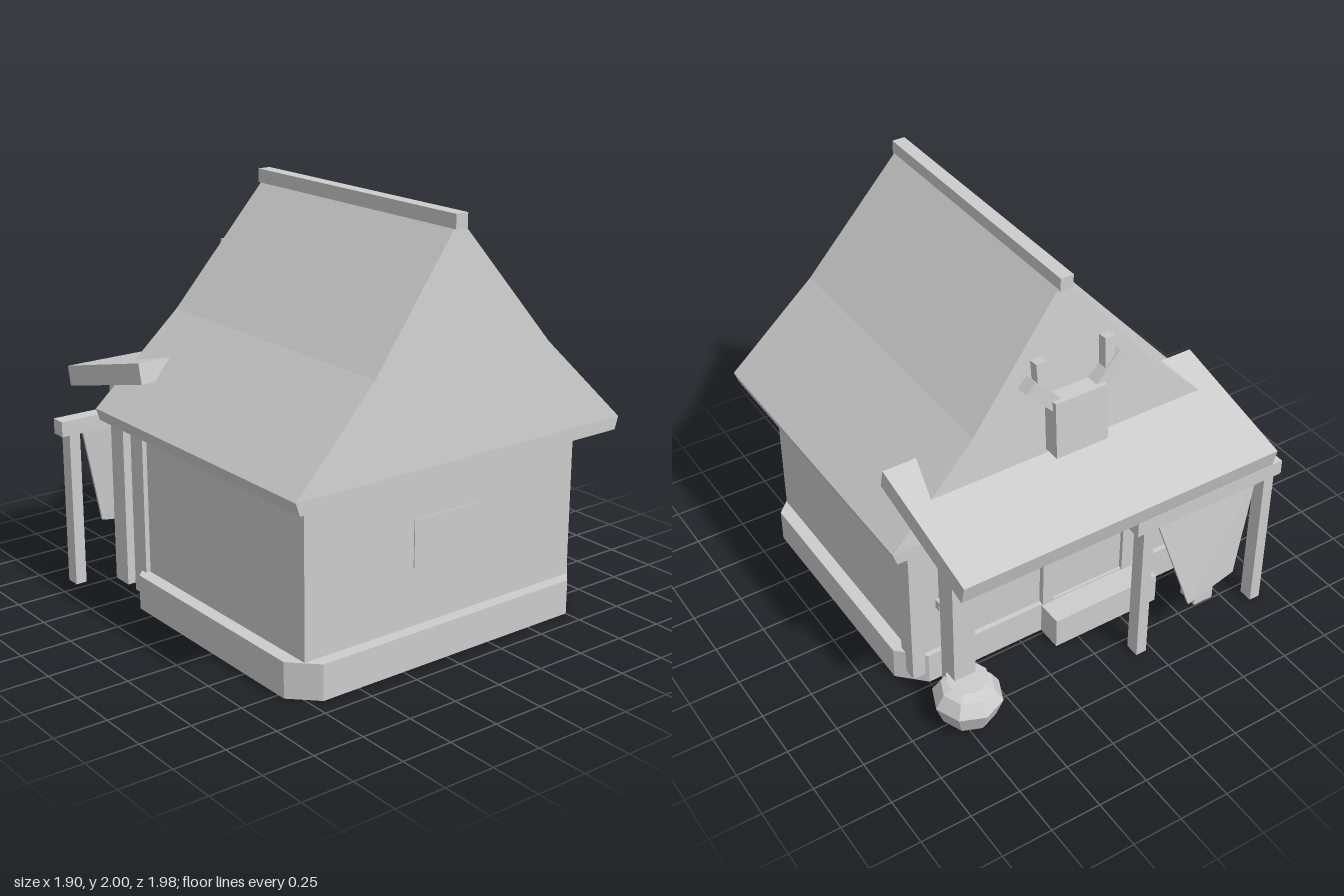
import * as THREE from 'three';

export function createModel() {
  const house = new THREE.Group();
  house.name = 'cottage';
  const grey = new THREE.MeshStandardMaterial({ color: 0xcccccc });
  grey.name = 'light grey';
  grey.flatShading = true;
  const MID = 0.03; // the house's own centre line

  const add = (name, geometry) => {
    const mesh = new THREE.Mesh(geometry, grey);
    mesh.name = name;
    house.add(mesh);
    return mesh;
  };
  // Box given by its limits on each axis
  const box = (name, x0, x1, y0, y1, z0, z1) => {
    const g = new THREE.BoxGeometry(x1 - x0, y1 - y0, z1 - z0);
    g.translate((x0 + x1) / 2, (y0 + y1) / 2, (z0 + z1) / 2);
    return add(name, g);
  };
  // Square bar between two points
  const bar = (name, a, b, width, depth) => {
    const p = new THREE.Vector3(...a), q = new THREE.Vector3(...b);
    const mesh = add(name, new THREE.BoxGeometry(width, p.distanceTo(q), depth));
    mesh.position.copy(p).add(q).multiplyScalar(0.5);
    mesh.quaternion.setFromUnitVectors(new THREE.Vector3(0, 1, 0), q.sub(p).normalize());
    return mesh;
  };
  const shapeOf = (points) => new THREE.Shape(points.map(([x, y]) => new THREE.Vector2(x, y)));
  const octagon = (x0, x1, y0, y1, c) => [
    [x0 + c, y0], [x1 - c, y0], [x1, y0 + c], [x1, y1 - c],
    [x1 - c, y1], [x0 + c, y1], [x0, y1 - c], [x0, y0 + c]];
  // Chamfered plate lying flat between two heights
  const flatPlate = (name, shape, y0, y1) => {
    const g = new THREE.ExtrudeGeometry(shape, { depth: y1 - y0, bevelEnabled: false });
    g.rotateX(-Math.PI / 2);
    g.translate(0, y0, 0);
    add(name, g);
  };

  // Hollow chamfered foundation: thin skirt under a floor plate
  const skirt = shapeOf(octagon(-0.81, 0.87, -0.91, 0.48, 0.12));
  skirt.holes.push(shapeOf(octagon(-0.795, 0.855, -0.895, 0.465, 0.114).reverse()));
  flatPlate('foundationSkirt', skirt, 0, 0.16);
  flatPlate('foundationTop', shapeOf(octagon(-0.81, 0.87, -0.91, 0.48, 0.12)), 0.155, 0.17);

  // Walls and front panel
  box('walls', -0.745, 0.805, 0.165, 0.92, -0.455, 0.85);
  box('frontPanel', -0.15, 0.205, 0.445, 0.67, 0.847, 0.855);

  // Main roof: upright eaves band, then a gable whose ends lean inwards
  const sweepRoof = (name, profile) => {
    const g = new THREE.ExtrudeGeometry(shapeOf(profile), { depth: 1, bevelEnabled: false });
    const pos = g.attributes.position;
    for (let i = 0; i < pos.count; i++) {
      const rise = Math.max(0, pos.getY(i) - 0.96);
      pos.setZ(i, pos.getZ(i) > 0.5 ? 0.99 - rise * 0.092 : -0.565 + rise * 0.097);
    }
    g.computeVertexNormals();
    add(name, g);
  };
  sweepRoof('eaves', [[-0.87, 0.9], [0.93, 0.9], [0.95, 0.96], [-0.89, 0.96]]);
  sweepRoof('roof', [[-0.89, 0.96], [0.95, 0.96], [0.52, 1.38],
    [0.06, 1.94], [0, 1.94], [-0.46, 1.38]]);
  box('ridgeBeam', -0.005, 0.06, 1.935, 2, -0.487, 0.912);

  // Sloping porch roof, drawn in (-z, y) and swept along x
  const porch = new THREE.ExtrudeGeometry(
    shapeOf([[0.305, 1.12], [0.965, 0.957], [0.988, 1.052], [0.328, 1.216]]),
    { depth: 1.65, bevelEnabled: false });
  porch.rotateY(Math.PI / 2);
  porch.translate(-0.796, 0, 0);
  add('porchRoof', porch);

  // Porch posts and rear corner posts
  for (const side of [-1, 1]) {
    const px = MID + side * 0.685;
    box('porchPost', px - 0.055, px + 0.055, 0, 1.08, -0.745, -0.635);
    const cx = MID + side * 0.763;
    box('cornerPost', cx - 0.035, cx + 0.035, 0.05, 0.92, -0.467, -0.365);
  }

  // Door with frame, handle and step
  box('step', -0.46, 0.125, 0, 0.163, -0.61, -0.45);
  box('door', -0.35, 0.07, 0.16, 0.73, -0.465, -0.45);
  box('doorLintel', -0.42, 0.14, 0.72, 0.8, -0.505, -0.45);
  for (const x of [-0.37, 0.09]) box('doorJamb', x - 0.03, x + 0.03, 0.16, 0.72, -0.485, -0.45);
  box('doorHandle', -0.29, -0.25, 0.42, 0.47, -0.485, -0.46);

  // Barred window
  box('windowSill', 0.17, 0.69, 0.43, 0.48, -0.49, -0.45);
  box('windowLintel', 0.17, 0.69, 0.8, 0.84, -0.48, -0.45);
  for (const x of [0.21, 0.357, 0.503, 0.65]) box('windowBar', x - 0.022, x + 0.022, 0.48, 0.8, -0.482, -0.45);

  // Plank leaning on the wall
  bar('leaningPlank', [-0.5, 0.7, -0.474], [-0.74, 0.07, -0.474], 0.04, 0.02);

  // Sign frame
  box('signBeam', -0.95, -0.125, 0.77, 0.845, -0.868, -0.79);
  for (const x of [-0.882, -0.19]) box('signPost', x - 0.028, x + 0.028, 0, 0.775, -0.865, -0.792);

  // Hanging cloth: tapered, swinging outwards at the bottom
  const cloth = new THREE.BoxGeometry(1, 1, 0.014);
  const cp = cloth.attributes.position;
  for (let i = 0; i < cp.count; i++) {
    const right = cp.getX(i) > 0, top = cp.getY(i) > 0;
    const [x, y, z] = top ? [right ? -0.25 : -0.82, 0.78, -0.838]
      : right ? [-0.43, 0.22, -0.89] : [-0.71, 0.27, -0.868];
    cp.setXYZ(i, x, y, z + cp.getZ(i));
  }
  cloth.computeVertexNormals();
  add('hangingCloth', cloth);

  // Faceted jar with a pinched neck and flared rim
  const jarProfile = [[0, 0], [0.095, 0], [0.13, 0.04], [0.166, 0.14], [0.125, 0.205],
    [0.07, 0.22], [0.07, 0.237], [0.1, 0.252], [0, 0.252]].map(([r, y]) => new THREE.Vector2(r, y));
  add('jar', new THREE.LatheGeometry(jarProfile, 8)).position.set(0.709, 0, -0.755);

  // Gable ornament with a pair of antlers
  const plaque = box('gablePlaque', -0.11, 0.16, 1.185, 1.47, -0.632, -0.547);
  const pp = plaque.geometry.attributes.position;
  for (let i = 0; i < pp.count; i++) if (pp.getY(i) > 1.3) pp.setZ(i, pp.getZ(i) + 0.018);
  plaque.geometry.computeVertexNormals();
  for (const side of [-1, 1]) {
    const x = (d) => 0.025 + side * d;
    bar('antlerBranch', [x(0.075), 1.405, -0.562], [x(0.242), 1.575, -0.55], 0.066, 0.065);
    bar('antlerTine', [x(0.172), 1.5, -0.554], [x(0.177), 1.67, -0.538], 0.05, 0.048);
  }

  return house;
}
